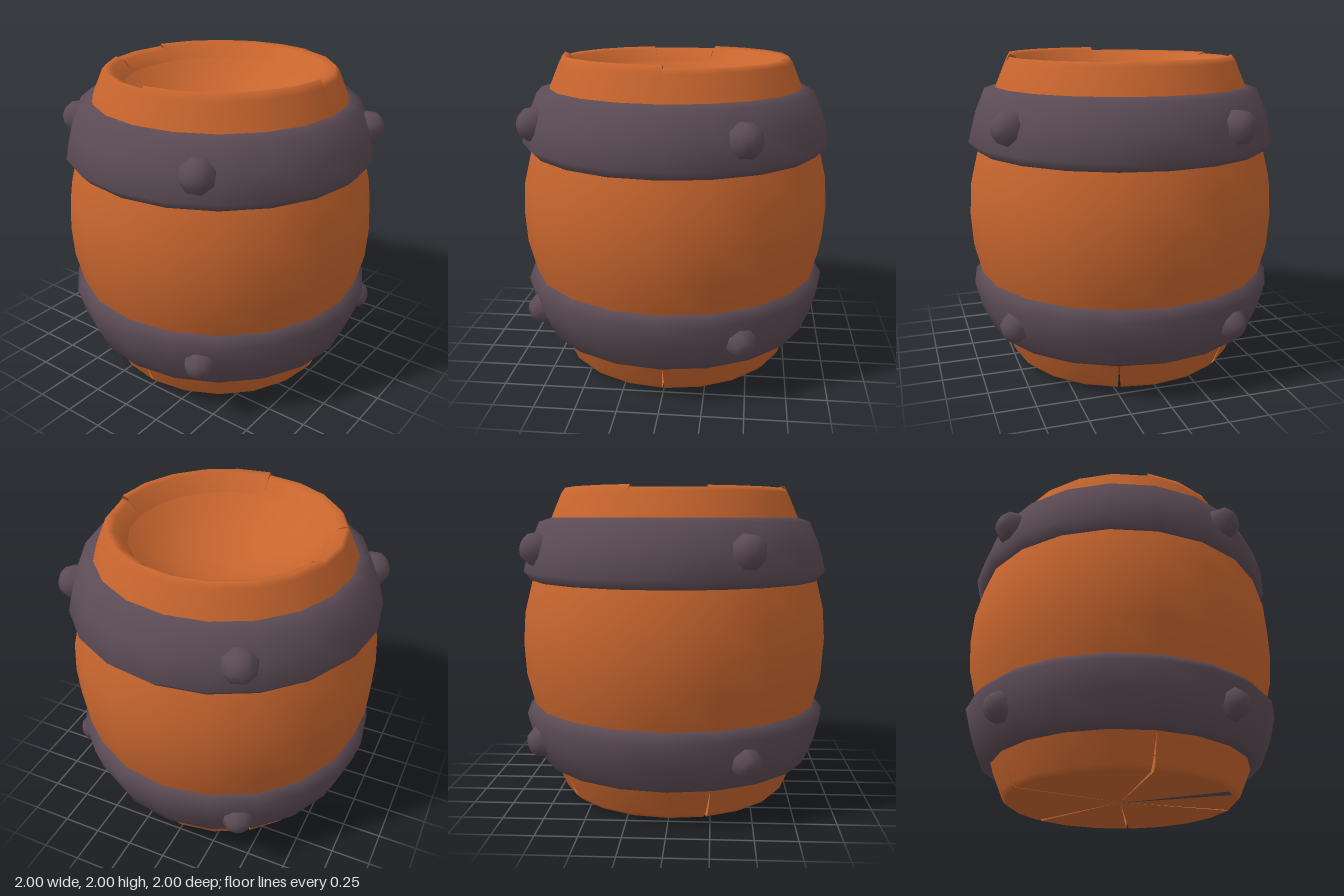
import * as THREE from 'three';

const SIDES = 20;
const wood = new THREE.MeshStandardMaterial({ color: 0xc8652e, side: THREE.DoubleSide });
wood.name = 'orange wood';
const iron = new THREE.MeshStandardMaterial({ color: 0x5c4b55, side: THREE.DoubleSide });
iron.name = 'dark iron';

const rad = THREE.MathUtils.degToRad;
const profile = (pts) => pts.map(([r, y]) => new THREE.Vector2(r, y));

function lathe(name, pts, material, segments = SIDES) {
  const mesh = new THREE.Mesh(new THREE.LatheGeometry(profile(pts), segments), material);
  mesh.name = name;
  return mesh;
}

// A sector of a turned profile between two azimuths (degrees from +x towards +z)
function sector(name, pts, from, to, material) {
  const n = Math.max(1, Math.round((to - from) / 18));
  const geo = new THREE.LatheGeometry(profile(pts), n, rad(90 - to), rad(to - from));
  const mesh = new THREE.Mesh(geo, material);
  mesh.name = name;
  return mesh;
}

// Rotates both side edges of a sector inward, most at the floor, to open slits
function openSlits(mesh, pts, gapStart, gapEnd) {
  const pos = mesh.geometry.attributes.position;
  const v = new THREE.Vector3();
  const up = new THREE.Vector3(0, 1, 0);
  pts.forEach(([, y], j) => {
    const t = Math.max(0, 1 - y / 0.21);
    // the first column lies at the end azimuth, the last at the start azimuth
    [[j, gapEnd], [pos.count - pts.length + j, -gapStart]].forEach(([i, gap]) => {
      v.fromBufferAttribute(pos, i).applyAxisAngle(up, rad(gap * t));
      pos.setXYZ(i, v.x, v.y, v.z);
    });
  });
  return mesh;
}

export function createModel() {
  const model = new THREE.Group();
  model.name = 'barrel';

  // Bulging wall
  model.add(lathe('wall', [
    [0.81, 0.2], [0.935, 0.6], [0.985, 0.8], [0.998, 1], [0.985, 1.2], [0.935, 1.4], [0.81, 1.79],
  ], wood));

  // Shallow dished top: a spherical cap
  const dish = [];
  const edge = rad(42);
  for (let i = 0; i <= 6; i++) {
    const a = edge * (1 - i / 6);
    const R = 0.6 / Math.sin(edge);
    dish.push([R * Math.sin(a), 1.885 + R * (Math.cos(edge) - Math.cos(a))]);
  }
  model.add(lathe('dish', dish, wood));

  // Top rim staves, each slightly different in height and inner reach
  const rim = new THREE.Group();
  rim.name = 'rim';
  [[0, 90, 0.015, 1], [90, 162, -0.005, 0.985], [162, 198, -0.015, 0.96],
    [198, 288, 0, 1], [288, 360, -0.005, 0.98]].forEach(([from, to, lift, reach]) => {
    rim.add(sector('rimStave', [
      [0.81, 1.785], [0.74, 1.95], [0.715, 1.983 + lift],
      [0.68 * reach, 1.968 + lift], [0.595, 1.88],
    ], from, to, wood));
  });
  model.add(rim);

  // Flat bottom staves meeting at the centre, with narrow slits between them
  const base = new THREE.Group();
  base.name = 'base';
  const slits = [[0, 0.7], [36, 0], [90, 0.7], [162, 0.7], [234, 1.4], [288, 0.7], [360, 0.7]];
  const basePts = [[0, 0.014], [0.71, 0.006], [0.74, 0.035], [0.815, 0.21]];
  for (let i = 0; i < slits.length - 1; i++) {
    const [from, g0] = slits[i];
    const [to, g1] = slits[i + 1];
    base.add(openSlits(sector('baseStave', basePts, from, to, wood), basePts, g0, g1));
  }
  // Iron showing in the widest slit
  base.add(sector('slitPlate', [[0, 0.01], [0.7, 0.002]], 32.5, 39.5, iron));
  model.add(base);

  // Two iron bands, mirrored about mid height, each with four rivets
  const bandPts = [[0.92, 1.4], [0.935, 1.4], [0.99, 1.46], [0.948, 1.62], [0.885, 1.77], [0.81, 1.795]];
  const rivetPts = [[0.105, -0.02], [0.104, 0.03], [0.075, 0.085], [0.035, 0.106], [0, 0.108]];
  [1, -1].forEach((side) => {
    const band = new THREE.Group();
    band.name = side > 0 ? 'upperBand' : 'lowerBand';
    const pts = side > 0 ? bandPts : bandPts.map(([r, y]) => [r, 2 - y]).reverse();
    band.add(lathe('hoop', pts, iron));
    [-30, 61, 151, 241].forEach((deg) => {
      const rivet = lathe('rivet', rivetPts, iron, 8);
      const a = rad(deg);
      const tilt = side * 0.33;
      const out = new THREE.Vector3(
        Math.cos(a) * Math.cos(tilt), Math.sin(tilt), Math.sin(a) * Math.cos(tilt));
      rivet.quaternion.setFromUnitVectors(new THREE.Vector3(0, 1, 0), out);
      rivet.position.set(0.925 * Math.cos(a), 1 + side * 0.6, 0.925 * Math.sin(a));
      rivet.scale.setScalar(side > 0 ? 1.03 : 0.92);
      band.add(rivet);
    });
    model.add(band);
  });

  return model;
}
